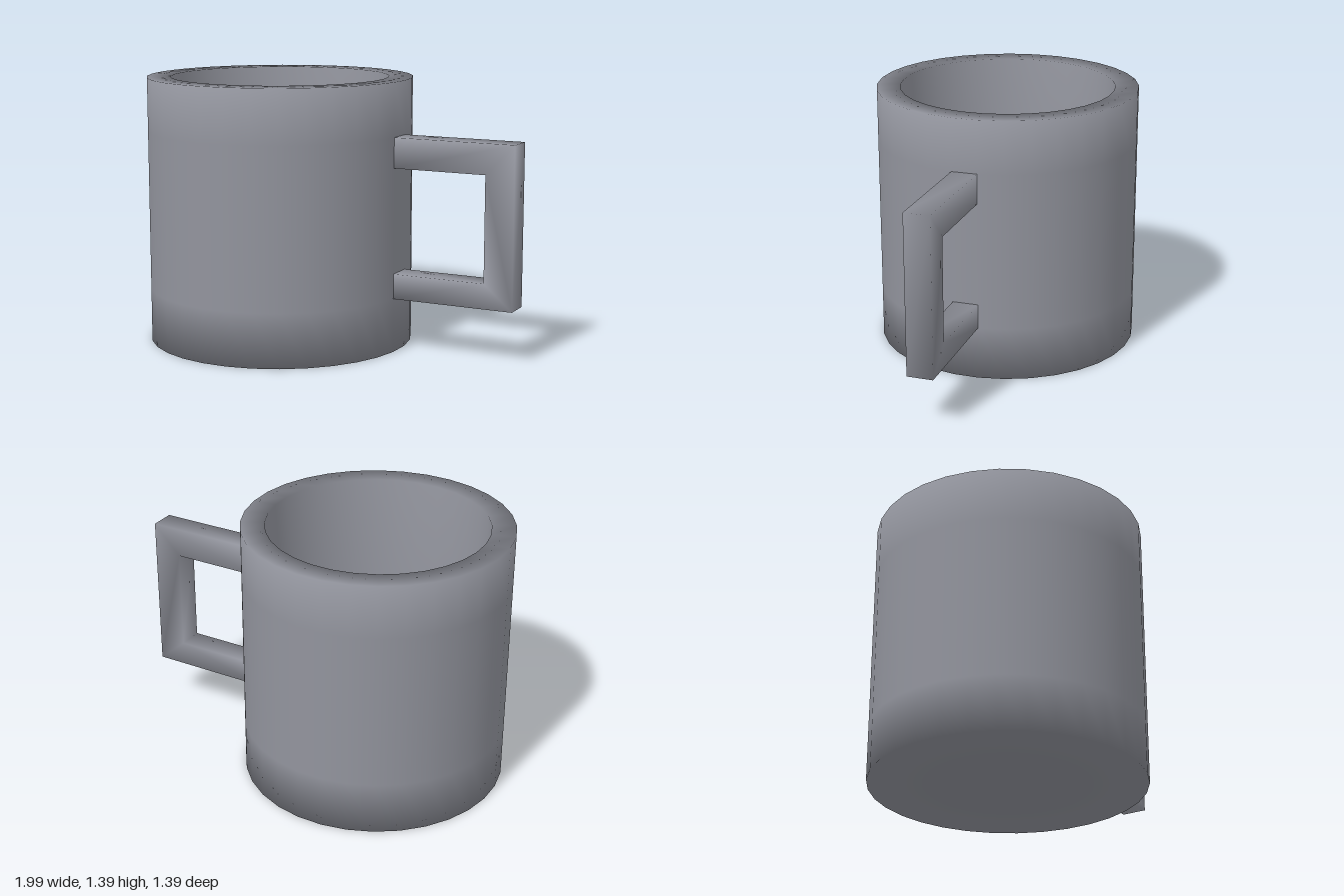
import * as THREE from 'three';
import { mergeVertices } from 'three/addons/utils/BufferGeometryUtils.js';

const R = 0.695, INNER = 0.57, HEIGHT = 1.39, LEVEL = 0.45;

function lathe(profile) {
  return new THREE.LatheGeometry(profile.map(([r, y]) => new THREE.Vector2(r, y)), 32);
}

// Weld corners so that shading flows softly over the edges
function soften(geometry) {
  geometry.deleteAttribute('normal');
  geometry.deleteAttribute('uv');
  const welded = mergeVertices(geometry, 1e-4);
  welded.computeVertexNormals();
  return welded;
}

export function createModel() {
  const glaze = new THREE.MeshStandardMaterial({ color: 0x92949d });
  glaze.name = 'grey glaze';
  const dark = new THREE.MeshStandardMaterial({ color: 0x55616f });
  dark.name = 'slate blue';

  const mug = new THREE.Group();
  mug.name = 'mug';
  mug.position.x = -0.305;

  const add = (name, geometry, material) => {
    const mesh = new THREE.Mesh(geometry, material);
    mesh.name = name;
    mug.add(mesh);
    return mesh;
  };

  // Base, outer wall, rim and inner wall in one profile;
  // the last short step tilts the shading at the foot of the inner wall
  add('cup', lathe([
    [0, 0], [R, 0], [R, 0.28], [R, 1.11], [R, HEIGHT],
    [INNER, HEIGHT], [INNER, LEVEL], [INNER - 0.01, LEVEL],
  ]), glaze);

  // Dark surface inside the cup
  add('innerFloor', lathe([[INNER, LEVEL + 0.002], [0, LEVEL + 0.002]]), dark);

  // Square C-shaped handle, radial to the cup and as wide as one wall facet
  const start = 0.685;
  const outline = [
    [start, 0.28], [1.336, 0.28], [1.336, 1.112], [start, 1.112],
    [start, 0.955], [1.184, 0.955], [1.184, 0.41], [start, 0.41],
  ];
  const shape = new THREE.Shape(outline.map(([x, y]) => new THREE.Vector2(x, y)));
  const width = 0.136;
  const bar = new THREE.ExtrudeGeometry(shape, { depth: width, bevelEnabled: false });
  bar.translate(0, 0, -width / 2);
  add('handle', soften(bar), glaze).rotation.y = -THREE.MathUtils.degToRad(16.875);

  const model = new THREE.Group();
  model.add(mug);
  return model;
}
